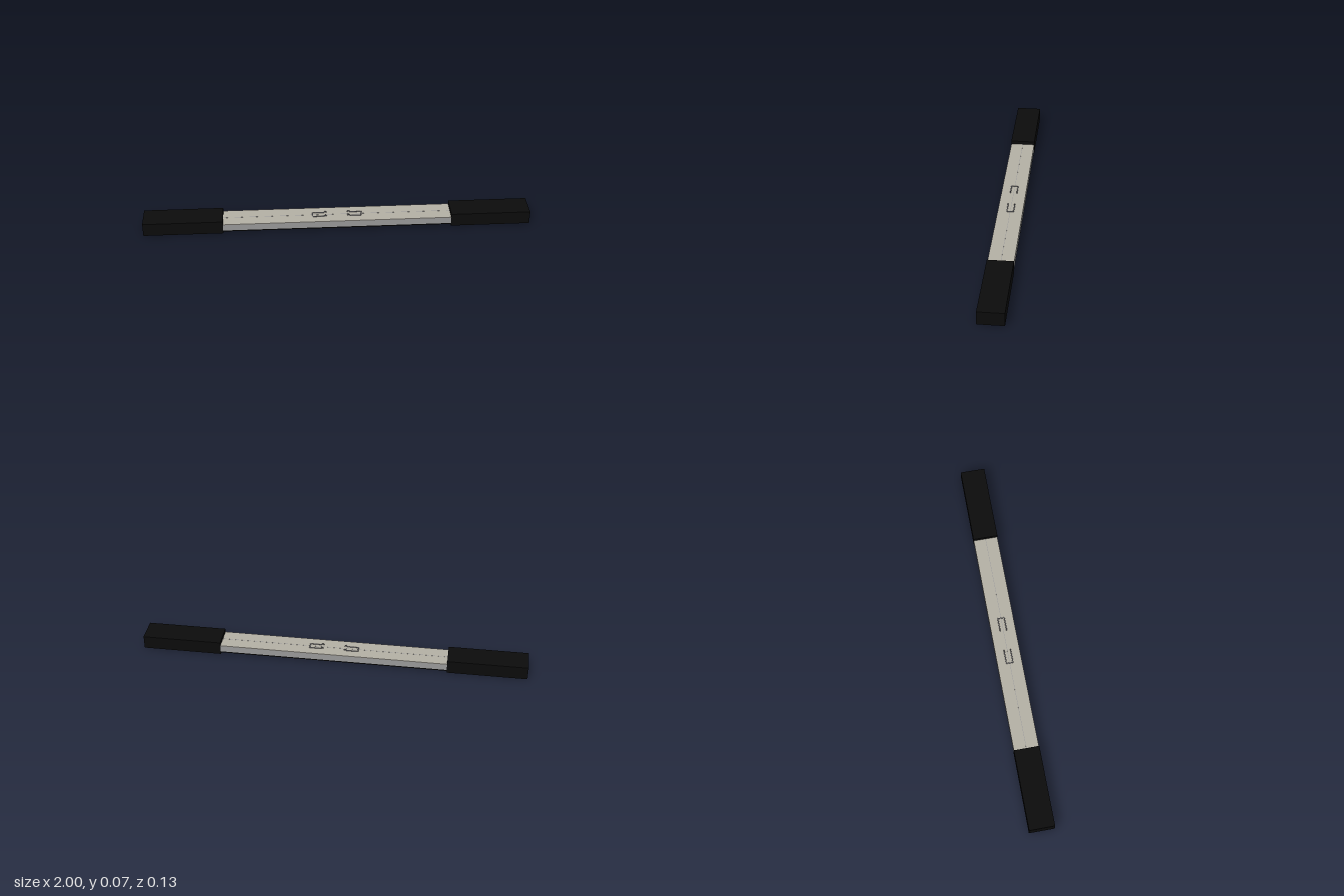
import * as THREE from 'three';

const material = (color) => new THREE.MeshStandardMaterial({ color });

export function createModel() {
  const model = new THREE.Group();
  const black = material(0x0b0b0b);
  const grey = material(0x999999);
  const beige = material(0xb3afa4);
  const wire = material(0x77777c);

  // Box given by its centre x, bottom y, centre z and size
  function box(name, mat, x, y, z, w, h, d) {
    const mesh = new THREE.Mesh(new THREE.BoxGeometry(w, h, d), mat);
    mesh.position.set(x, y + h / 2, z);
    mesh.name = name;
    model.add(mesh);
  }

  // Middle bar: dark base, grey body, pale top plate with a centre seam
  box('basePlate', black, 0, 0.01, 0, 1.19, 0.006, 0.128);
  box('barBody', grey, 0, 0.016, 0, 1.19, 0.033, 0.128);
  box('topPlate', beige, 0, 0.049, 0, 1.19, 0.003, 0.128);
  box('centreSeam', grey, 0, 0.052, 0, 1.18, 0.0004, 0.002);

  for (const side of [-1, 1]) {
    // Black end block
    box(side > 0 ? 'leftEndBlock' : 'rightEndBlock', black, side * 0.795, 0, 0, 0.41, 0.07, 0.13);

    // U-shaped wire clip, lying on the top with raised inner ends
    const clip = new THREE.CurvePath();
    const points = [
      [0.054, 0.054, -0.017], [0.06, 0.06, -0.017], [0.068, 0.053, -0.017], [0.126, 0.053, -0.017],
      [0.126, 0.053, 0.017], [0.068, 0.053, 0.017], [0.06, 0.06, 0.017], [0.054, 0.054, 0.017],
    ].map(([x, y, z]) => new THREE.Vector3(side * x, y, z));
    for (let i = 1; i < points.length; i++) clip.add(new THREE.LineCurve3(points[i - 1], points[i]));
    const mesh = new THREE.Mesh(new THREE.TubeGeometry(clip, 100, 0.0025, 6), wire);
    mesh.name = side > 0 ? 'leftWireClip' : 'rightWireClip';
    model.add(mesh);
  }
  return model;
}
